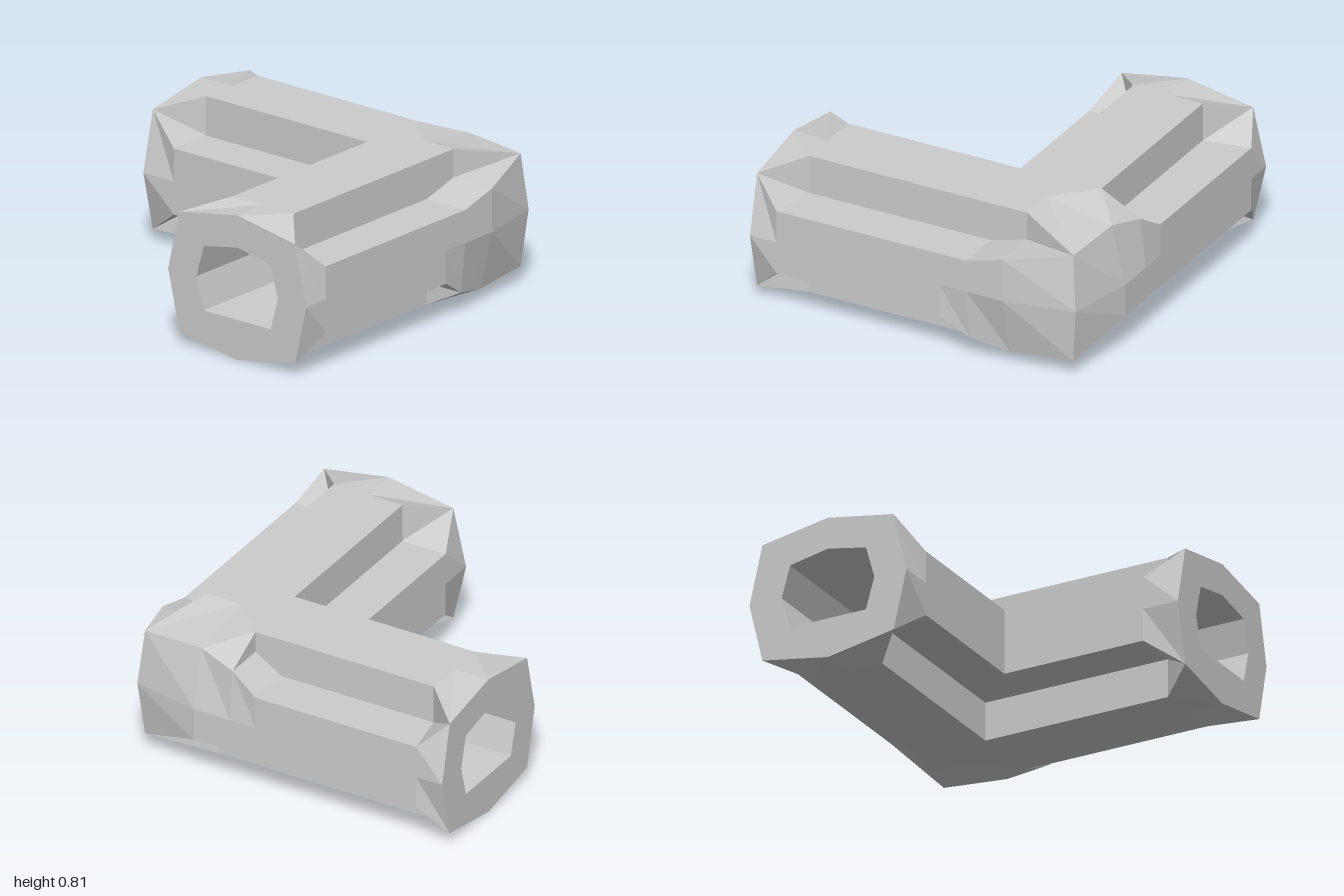
import * as THREE from 'three';

const CY = 0.405, CZ = 0.525; // centre of the corridor cross-section

// One stepped corner of the plus-shaped section: plate edge, notch, ledge edge
const step = (x, xs, sy, sz, ledge = 0.185, out = 0.475) => [
  [x, CY + sy * CY, CZ + sz * 0.21],
  [x, CY + sy * ledge, CZ + sz * 0.21],
  [xs, CY + sy * ledge, CZ + sz * out],
];
const merge = (p) => [p, p, p];

// Cross-section of 16 points, clockwise from the top; x is held back to the mitre
function section(x, o = {}) {
  const xs = o.xs ?? x;
  const ring = [
    [x, o.top ?? 2 * CY, CZ],
    ...(o.topOuter ?? step(x, xs, 1, 1)),
    o.side ?? [xs, CY, 1],
    ...[...(o.lowOuter ?? step(x, xs, -1, 1))].reverse(),
    [x, o.low ?? 0, CZ],
    ...(o.lowInner ?? step(x, x, -1, -1)),
    o.inner ?? [x, CY, 0.05],
    ...[...(o.topInner ?? step(x, x, 1, -1))].reverse(),
  ];
  return ring.map(([px, y, z]) => new THREE.Vector3(Math.min(px, z), y, z));
}

// Eight-sided section with slightly bulged middles
function octagon(x, half, cornerY, side, top, low) {
  const c = (sy, sz) => merge([x, CY + sy * cornerY, CZ + sz * half]);
  return section(x, {
    top, low, side: [x, CY, CZ + side], inner: [x, CY, CZ - side],
    topOuter: c(1, 1), lowOuter: c(-1, 1), lowInner: c(-1, -1), topInner: c(1, -1),
  });
}

function loft(rings) {
  const pos = [];
  const tri = (...t) => {
    if (new THREE.Triangle(...t).getArea() > 1e-6) t.forEach((p) => pos.push(p.x, p.y, p.z));
  };
  for (let s = 0; s < rings.length - 1; s++) {
    const a = rings[s], b = rings[s + 1];
    a.forEach((p, i) => {
      const j = (i + 1) % a.length;
      tri(p, a[j], b[j]);
      tri(p, b[j], b[i]);
    });
  }
  const g = new THREE.BufferGeometry();
  g.setAttribute('position', new THREE.Float32BufferAttribute(pos, 3));
  g.computeVertexNormals();
  return g;
}

// Half of the corridor: tunnel, end face, collar, stepped walls, elbow
function corridorArm(lip, holeTop, holeLow) {
  const elbowTop = [0.89, 0.72, 0.89], elbowLow = [0.89, 0.09, 0.89];
  const shoulder = step(0.305, 0.305, -1, 1, 0.285, 0.445);
  return loft([
    octagon(2, 0.23, 0.18, 0.28, holeTop, holeLow),
    octagon(-1, 0.23, 0.18, 0.28, holeTop, holeLow),
    octagon(-1, 0.397, 0.335, 0.475, 2 * CY, 0),
    section(-0.79, { xs: -0.84 }),
    section(0.145),
    section(0.305, { lowOuter: shoulder }),
    section(0.305, { lowOuter: [shoulder[0], shoulder[2], shoulder[2]] }),
    section(0.525, {
      topOuter: step(0.525, 0.525, 1, 1, lip),
      lowOuter: merge([0.525, 0.07, 0.92]),
    }),
    section(0.92, {
      side: [0.92, CY, 0.92], topOuter: merge(elbowTop), lowOuter: merge(elbowLow),
    }),
  ]);
}

export function createModel() {
  const group = new THREE.Group();
  group.name = 'cornerCorridor';
  const grey = new THREE.MeshStandardMaterial({ color: 0xcccccc });
  grey.name = 'lightGrey';
  grey.flatShading = true;

  const sideArm = new THREE.Mesh(corridorArm(0.245, 0.63, 0.225), grey);
  sideArm.name = 'sideArm';

  // The second arm is the first turned half over about the diagonal of the elbow
  const turn = new THREE.Matrix4().set(
    0, 0, 1, 0,
    0, -1, 0, 2 * CY,
    1, 0, 0, 0,
    0, 0, 0, 1);
  const backArm = new THREE.Mesh(corridorArm(0.185, 0.585, 0.18).applyMatrix4(turn), grey);
  backArm.name = 'backArm';

  group.add(sideArm, backArm);
  return group;
}
